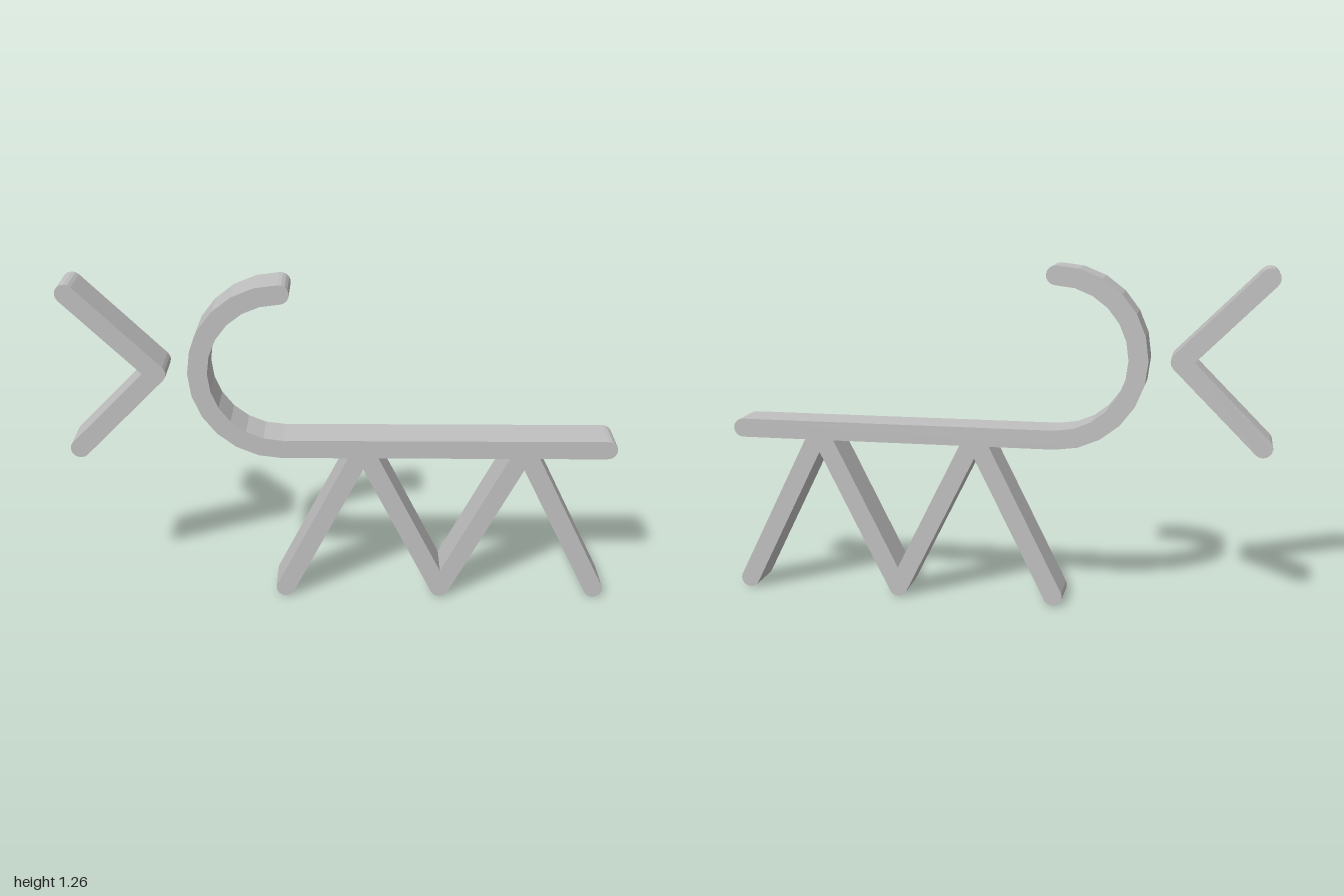
import * as THREE from 'three';

const HALF = 0.035;   // half the width of a bar
const DEPTH = 0.145;  // thickness front to back

// Outline of a thick line: walk along the path and back, rounding outer corners and ends
function strokeShape(path) {
  const pts = path.map(([x, y]) => new THREE.Vector2(x, y));
  const loop = [...pts, ...pts.slice(1, -1).reverse()];
  const n = loop.length;
  const outline = [];
  for (let i = 0; i < n; i++) {
    const p = loop[i];
    const a0 = p.clone().sub(loop[(i + n - 1) % n]).angle();
    const a1 = loop[(i + 1) % n].clone().sub(p).angle();
    let turn = Math.atan2(Math.sin(a1 - a0), Math.cos(a1 - a0));
    if (turn < -3.1) turn = Math.PI;
    const add = (angle, r) => outline.push(
      new THREE.Vector2(p.x + Math.cos(angle) * r, p.y + Math.sin(angle) * r));
    if (turn > 0.4) {
      const steps = Math.max(3, Math.round(turn / (Math.PI / 8)));
      for (let s = 0; s <= steps; s++) add(a0 - Math.PI / 2 + turn * s / steps, HALF);
    } else {
      add(a0 - Math.PI / 2 + turn / 2, HALF / Math.cos(turn / 2));
    }
  }
  return new THREE.Shape(outline);
}

export function createModel() {
  const group = new THREE.Group();
  const grey = new THREE.MeshStandardMaterial({ color: 0xc0c0c0 });
  grey.name = 'light grey';

  function addStroke(name, path) {
    const geometry = new THREE.ExtrudeGeometry(strokeShape(path), {
      depth: DEPTH, bevelEnabled: false, steps: 1,
    });
    geometry.translate(0, 0, -DEPTH / 2);
    const mesh = new THREE.Mesh(geometry, grey);
    mesh.name = name;
    group.add(mesh);
  }

  // Half-circle neck running into the straight back
  const body = [];
  for (let i = 0; i <= 12; i++) {
    const a = Math.PI / 2 + Math.PI * i / 12;
    body.push([-0.225 + 0.297 * Math.cos(a), 0.93 + 0.297 * Math.sin(a)]);
  }
  body.push([0.965, 0.633]);
  addStroke('neckAndBack', body);

  // Zigzag legs under the back
  addStroke('legs', [
    [-0.225, 0.036], [0.071, 0.63], [0.368, 0.036], [0.664, 0.63], [0.961, 0.036],
  ]);

  // Separate chevron beak
  addStroke('beak', [[-0.965, 1.227], [-0.669, 0.93], [-0.965, 0.633]]);

  return group;
}
